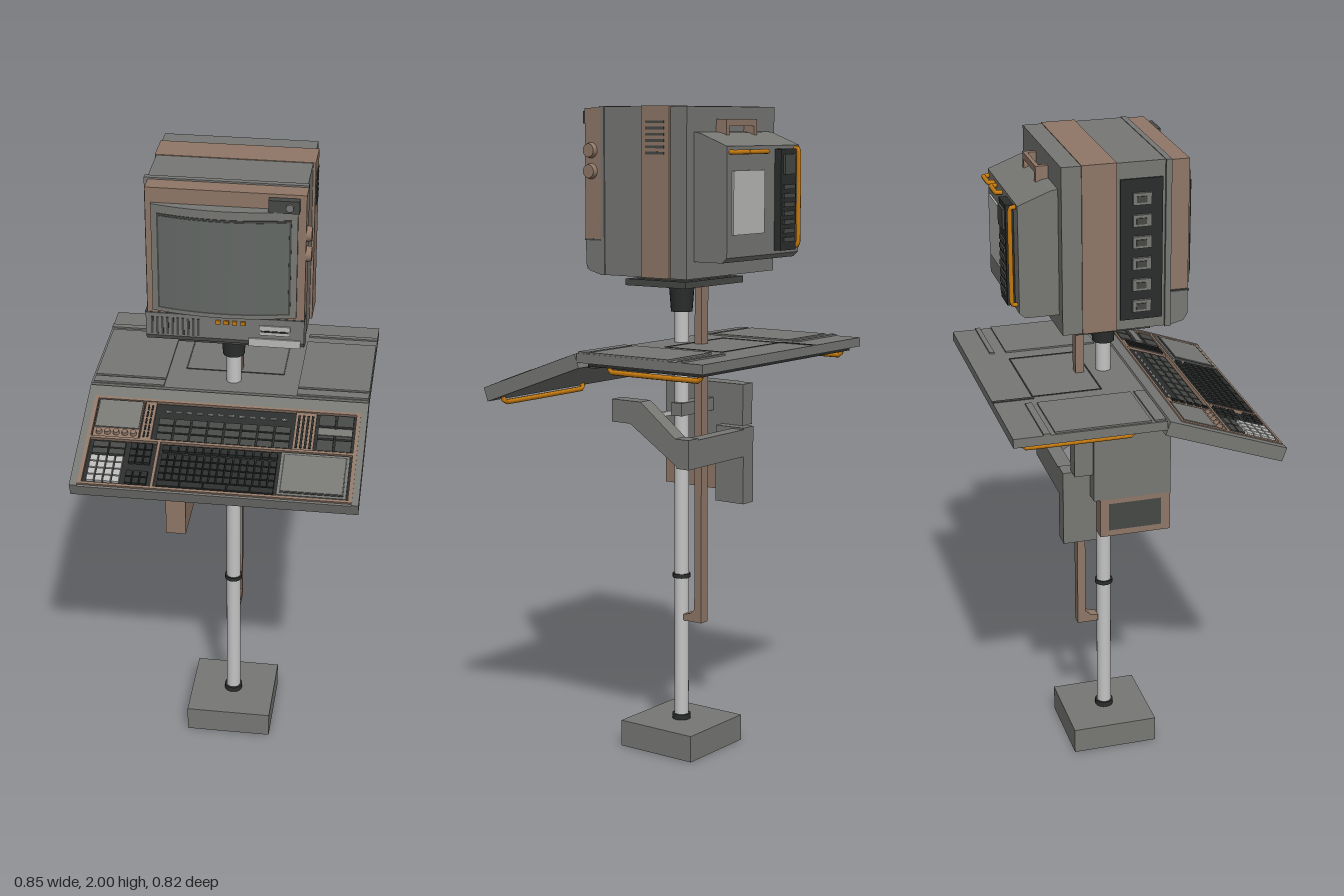
import * as THREE from 'three';
import { mergeGeometries } from 'three/addons/utils/BufferGeometryUtils.js';

const material = (name, color) => {
  const m = new THREE.MeshStandardMaterial({ color });
  m.name = name;
  return m;
};

export function createModel() {
  const gray = material('casing gray', 0x777874);
  const brown = material('casing brown', 0x8f7767);
  const dark = material('dark plastic', 0x2b2d2d);
  const charcoal = material('charcoal', 0x464845);
  const screenMat = material('screen glass', 0x646865);
  const metal = material('pale metal', 0xc4c4c4);
  const keyWhite = material('key white', 0xb9bab8);
  const orange = material('orange', 0xc47a10);

  const model = new THREE.Group();
  const group = (name) => {
    const g = new THREE.Group();
    g.name = name;
    model.add(g);
    return g;
  };
  const add = (parent, name, mat, geo) => {
    const mesh = new THREE.Mesh(geo, mat);
    mesh.name = name;
    parent.add(mesh);
    return mesh;
  };
  const boxGeo = (x0, x1, y0, y1, z0, z1, sx = 1) =>
    new THREE.BoxGeometry(x1 - x0, y1 - y0, z1 - z0, sx, 1, 1)
      .translate((x0 + x1) / 2, (y0 + y1) / 2, (z0 + z1) / 2);
  const box = (parent, name, mat, ...r) => add(parent, name, mat, boxGeo(...r));
  const cyl = (parent, name, mat, r0, r1, y0, y1, x, z) =>
    add(parent, name, mat, new THREE.CylinderGeometry(r1, r0, y1 - y0, 20).translate(x, (y0 + y1) / 2, z));
  // side outline of [z, y] points, extended across x
  const profile = (parent, name, mat, pts, x0, x1) => {
    const shape = new THREE.Shape(pts.map(([z, y]) => new THREE.Vector2(z, y)));
    const geo = new THREE.ExtrudeGeometry(shape, { depth: x1 - x0, bevelEnabled: false });
    return add(parent, name, mat, geo.rotateY(-Math.PI / 2).translate(x1, 0, 0));
  };
  const tube = (parent, name, mat, pts, r) => {
    const path = new THREE.CatmullRomCurve3(pts.map((p) => new THREE.Vector3(...p)), false, 'catmullrom', 0.1);
    return add(parent, name, mat, new THREE.TubeGeometry(path, 32, r, 8));
  };
  // grid of small blocks merged into one mesh; gap is the spacing between them
  const keys = (parent, name, mat, x0, x1, z0, z1, cols, rows, y0, y1, gap = 0.004) => {
    const w = (x1 - x0) / cols, d = (z1 - z0) / rows, list = [];
    for (let r = 0; r < rows; r++) for (let c = 0; c < cols; c++) {
      const x = x0 + c * w, z = z0 + r * d;
      list.push(boxGeo(x + gap / 2, x + w - gap / 2, y0, y1, z + gap / 2, z + d - gap / 2));
    }
    return add(parent, name, mat, mergeGeometries(list));
  };

  // Base and pole
  const PZ = -0.032;
  const stand = group('stand');
  box(stand, 'base', gray, -0.135, 0.138, 0, 0.083, -0.168, 0.104);
  cyl(stand, 'pole', metal, 0.023, 0.023, 0.08, 1.4, 0.002, PZ);
  cyl(stand, 'lower collar', dark, 0.029, 0.029, 0.083, 0.1, 0.002, PZ);
  cyl(stand, 'pole ring', dark, 0.028, 0.028, 0.543, 0.556, 0.002, PZ);
  cyl(stand, 'neck socket', dark, 0.033, 0.04, 1.38, 1.47, 0.002, PZ);
  box(stand, 'mount plate', charcoal, -0.15, 0.15, 1.465, 1.485, -0.155, 0.07);
  box(stand, 'mount block', charcoal, -0.12, 0.12, 1.485, 1.505, -0.13, 0.05);
  profile(stand, 'cable channel', brown, [[-0.055, 0.41], [-0.122, 0.41], [-0.122, 1.47], [-0.096, 1.47],
    [-0.096, 0.45], [-0.08, 0.435], [-0.055, 0.43]], -0.012, 0.022);

  // Desk top with underside tray
  const desk = group('desk');
  box(desk, 'desk slab', gray, -0.425, 0.42, 1.258, 1.286, -0.413, 0.042);
  box(desk, 'rear right strip', gray, 0.205, 0.42, 1.286, 1.291, -0.34, -0.325);
  box(desk, 'rear left panel', gray, -0.425, -0.2, 1.286, 1.291, -0.325, -0.305);
  for (const s of [-1, 1]) {
    box(desk, 'side panel', gray, s * 0.31 - 0.108, s * 0.31 + 0.108, 1.286, 1.291, -0.29, -0.005);
    box(desk, 'front strip', gray, s * 0.31 - 0.108, s * 0.31 + 0.108, 1.286, 1.291, 0.005, 0.038);
    tube(desk, 'underside handle', orange, [[s * 0.375, 1.25, -0.045], [s * 0.375, 1.232, -0.055],
      [s * 0.375, 1.232, -0.365], [s * 0.375, 1.25, -0.375]], 0.008);
    box(desk, 'hinge block', charcoal, s * 0.33 - 0.028, s * 0.33 + 0.028, 1.235, 1.265, 0.02, 0.085);
  }
  for (const z of [-0.29, -0.08]) box(desk, 'hatch seam', charcoal, -0.15, 0.15, 1.286, 1.288, z - 0.002, z + 0.002);
  for (const x of [-0.15, 0.15]) box(desk, 'hatch seam', charcoal, x - 0.002, x + 0.002, 1.286, 1.288, -0.29, -0.08);
  box(desk, 'cable groove', charcoal, -0.165, -0.153, 1.286, 1.288, -0.412, -0.29);
  box(desk, 'underside tray', dark, -0.4, 0.395, 1.246, 1.258, -0.39, 0.02);
  box(desk, 'underside plate', gray, -0.16, 0.16, 1.225, 1.246, -0.25, 0.01);
  box(desk, 'pole clamp', gray, -0.04, 0.045, 1.2, 1.226, -0.1, 0.025);

  // Sloped console; local y = 0 is its upper surface, local z runs down the slope
  const con = group('console');
  con.position.set(0, 1.283, 0.05);
  con.rotation.x = 0.346;
  const Z = (z) => (z - 0.05) / 0.941;
  box(con, 'console tray', gray, -0.425, 0.42, -0.044, -0.014, 0, 0.383);
  for (const x of [-0.425, 0.398]) box(con, 'side rail', gray, x, x + 0.022, -0.014, 0, 0, 0.383);
  box(con, 'rear rail', gray, -0.403, 0.398, -0.014, 0, 0, Z(0.09));
  box(con, 'front rail', gray, -0.403, 0.398, -0.014, -0.004, Z(0.403), 0.383);
  for (const z of [0.091, 0.234, 0.396])
    box(con, 'cross trim', brown, -0.403, 0.398, -0.014, 0.003, Z(z), Z(z + 0.008));
  for (const x of [-0.403, 0.388]) box(con, 'side trim', brown, x, x + 0.012, -0.014, 0.003, Z(0.09), Z(0.404));
  box(con, 'keyboard divider', brown, -0.189, -0.18, -0.014, 0.003, Z(0.24), Z(0.4));
  box(con, 'console floor', dark, -0.392, 0.39, -0.014, -0.008, Z(0.095), Z(0.398));
  box(con, 'knob panel', brown, -0.388, -0.25, -0.01, -0.001, Z(0.1), Z(0.234));
  box(con, 'note pad', gray, -0.385, -0.253, -0.002, 0.003, Z(0.103), Z(0.2));
  for (let i = 0; i < 5; i++) cyl(con, 'dial', brown, 0.01, 0.008, -0.002, 0.01, -0.37 + i * 0.026, Z(0.217));
  box(con, 'slider strip', brown, -0.245, -0.212, -0.01, 0.001, Z(0.1), Z(0.234));
  keys(con, 'small sliders', dark, -0.24, -0.217, Z(0.11), Z(0.23), 2, 5, 0, 0.005, 0.007);
  keys(con, 'display labels', keyWhite, -0.19, 0.19, Z(0.118), Z(0.135), 12, 1, -0.008, -0.003, 0.014);
  keys(con, 'function strips', charcoal, -0.2, 0.2, Z(0.15), Z(0.23), 8, 3, -0.008, -0.004, 0.005);
  box(con, 'slider panel', brown, 0.208, 0.27, -0.01, -0.001, Z(0.1), Z(0.234));
  keys(con, 'slider slots', dark, 0.212, 0.266, Z(0.11), Z(0.23), 4, 1, -0.002, 0.003, 0.007);
  keys(con, 'drive bays', charcoal, 0.276, 0.384, Z(0.102), Z(0.234), 2, 3, -0.01, 0.001, 0.006);
  box(con, 'drive bay cover', gray, 0.279, 0.381, 0, 0.004, Z(0.155), Z(0.178));
  keys(con, 'number keys', keyWhite, -0.38, -0.28, Z(0.3), Z(0.392), 4, 4, -0.01, 0.004);
  keys(con, 'number top keys', charcoal, -0.38, -0.28, Z(0.25), Z(0.296), 2, 2, -0.01, 0.002);
  keys(con, 'navigation keys', dark, -0.267, -0.2, Z(0.25), Z(0.32), 3, 3, -0.01, 0.004);
  keys(con, 'arrow keys', dark, -0.267, -0.2, Z(0.345), Z(0.392), 3, 2, -0.01, 0.004);
  keys(con, 'function keys', dark, -0.172, 0.172, Z(0.25), Z(0.272), 14, 1, -0.01, 0.004);
  keys(con, 'main keys', dark, -0.172, 0.172, Z(0.28), Z(0.372), 16, 4, -0.01, 0.004);
  keys(con, 'space row', dark, -0.172, 0.172, Z(0.372), Z(0.394), 5, 1, -0.01, 0.004);
  box(con, 'touch pad frame', gray, 0.18, 0.382, -0.014, 0.004, Z(0.248), Z(0.394));
  box(con, 'touch pad edge', charcoal, 0.188, 0.374, 0.004, 0.006, Z(0.255), Z(0.387));
  box(con, 'touch pad', gray, 0.192, 0.37, 0.004, 0.008, Z(0.259), Z(0.383));
  tube(con, 'front handle', orange, [[0.01, -0.04, 0.345], [0.02, -0.06, 0.345],
    [0.38, -0.06, 0.345], [0.39, -0.04, 0.345]], 0.008);

  // Equipment box and bracket below the desk
  const rig = group('under desk bracket');
  box(rig, 'equipment box', gray, -0.19, -0.128, 0.935, 1.15, -0.115, 0.127);
  box(rig, 'equipment box base', brown, -0.19, -0.128, 0.81, 0.935, -0.095, 0.127);
  box(rig, 'box rear block', gray, -0.18, -0.128, 1.02, 1.15, -0.172, -0.11);
  keys(rig, 'box vent', charcoal, -0.193, -0.189, -0.07, 0.1, 1, 1, 0.83, 0.92);
  box(rig, 'rear column', gray, -0.146, -0.092, 0.78, 1.02, -0.2, -0.095);
  box(rig, 'rear bar', gray, -0.125, 0.195, 0.93, 1.015, -0.2, -0.155);
  profile(rig, 'side arm', gray, [[0.09, 1.12], [-0.02, 1.12], [-0.15, 1.02], [-0.2, 1.02], [-0.2, 0.93],
    [-0.165, 0.93], [0.02, 1.05], [0.09, 1.05]], 0.145, 0.195);
  box(rig, 'cross rod', metal, -0.13, 0.147, 1.042, 1.056, 0.05, 0.064);
  box(rig, 'arm clamp', gray, -0.13, 0.04, 1.06, 1.1, -0.06, -0.02);

  // Monitor casing
  const mon = group('monitor');
  box(mon, 'main casing', gray, -0.226, 0.226, 1.5, 1.998, -0.215, 0.1);
  box(mon, 'casing band', brown, -0.23, 0.234, 1.5, 2, -0.157, -0.055);
  box(mon, 'front casing', brown, -0.224, 0.23, 1.605, 1.995, 0.1, 0.16);
  box(mon, 'casing lip', gray, -0.235, 0.23, 1.5, 2, 0.088, 0.105);
  profile(mon, 'control panel', gray, [[0.1, 1.5], [0.1, 1.605], [0.158, 1.605], [0.158, 1.53], [0.145, 1.512]], -0.23, 0.23);
  box(mon, 'panel seam', charcoal, -0.231, 0.231, 1.602, 1.607, 0.1, 0.161);

  // Curved screen: plates bowed forward in the middle
  const bowed = (name, mat, x0, x1, y0, y1, z0, z1) => {
    const geo = boxGeo(x0, x1, y0, y1, z0, z1, 20), p = geo.attributes.position;
    for (let i = 0; i < p.count; i++)
      if (p.getZ(i) > 0.161) p.setZ(i, p.getZ(i) + 0.028 * (1 - (p.getX(i) / 0.21) ** 2));
    geo.computeVertexNormals();
    return add(mon, name, mat, geo);
  };
  bowed('screen bezel', gray, -0.207, 0.207, 1.618, 1.95, 0.15, 0.168);
  bowed('screen border', charcoal, -0.19, 0.19, 1.63, 1.925, 0.163, 0.17);
  bowed('screen', screenMat, -0.184, 0.184, 1.636, 1.919, 0.164, 0.172);
  box(mon, 'sensor plate', charcoal, 0.125, 0.212, 1.948, 1.985, 0.16, 0.182);
  add(mon, 'sensor lens', gray, new THREE.CylinderGeometry(0.011, 0.011, 0.01, 16).rotateX(Math.PI / 2).translate(0.185, 1.967, 0.185));

  // Front controls
  for (let i = 0; i < 4; i++) box(mon, 'indicator', orange, -0.026 + i * 0.024, -0.012 + i * 0.024, 1.579, 1.591, 0.157, 0.163);
  for (let i = 0; i < 10; i++) box(mon, 'front vent', charcoal, -0.215 + i * 0.015, -0.208 + i * 0.015, 1.535, 1.59, 0.157, 0.16);
  box(mon, 'disk slot', keyWhite, 0.1, 0.19, 1.552, 1.582, 0.157, 0.162);
  box(mon, 'disk slot gap', dark, 0.105, 0.185, 1.562, 1.567, 0.161, 0.164);
  box(mon, 'label plate', keyWhite, 0.07, 0.22, 1.515, 1.54, 0.147, 0.163);

  // Side knobs, vent and connector panel
  for (const y of [1.87, 1.808])
    add(mon, 'side knob', brown, new THREE.CylinderGeometry(0.02, 0.024, 0.018, 20).rotateZ(-Math.PI / 2).translate(0.236, y, 0.136));
  for (let i = 0; i < 6; i++) box(mon, 'band vent', charcoal, 0.232, 0.2365, 1.86 + i * 0.018, 1.868 + i * 0.018, -0.14, -0.072);
  box(mon, 'connector panel', dark, -0.231, -0.22, 1.53, 1.95, -0.045, 0.08);
  for (let i = 0; i < 6; i++) {
    const y = 1.555 + i * 0.064;
    box(mon, 'connector', gray, -0.24, -0.23, y, y + 0.035, -0.01, 0.045);
    box(mon, 'connector plug', charcoal, -0.243, -0.239, y + 0.008, y + 0.026, 0, 0.03);
  }

  // Rear housing
  profile(mon, 'rear housing', gray, [[-0.215, 1.55], [-0.215, 1.925], [-0.235, 1.922], [-0.332, 1.885],
    [-0.332, 1.565], [-0.315, 1.55]], -0.187, 0.19);
  for (const x of [-0.078, 0.064]) box(mon, 'handle post', brown, x, x + 0.016, 1.9, 1.962, -0.252, -0.215);
  box(mon, 'handle bar', brown, -0.078, 0.08, 1.942, 1.962, -0.252, -0.24);
  box(mon, 'rear label', keyWhite, 0.005, 0.165, 1.63, 1.815, -0.338, -0.331);
  box(mon, 'rear panel', dark, -0.137, -0.055, 1.575, 1.875, -0.355, -0.33);
  keys(mon, 'rear panel buttons', charcoal, -0.125, -0.067, -0.362, -0.354, 1, 1, 1.8, 1.86, 0);
  for (let i = 0; i < 7; i++) box(mon, 'rear panel slot', charcoal, -0.125, -0.067, 1.6 + i * 0.026, 1.614 + i * 0.026, -0.36, -0.354);
  for (const x of [0.003, 0.102])
    tube(mon, 'rear grip', orange, [[x, 1.868, -0.33], [x + 0.006, 1.868, -0.35], [x + 0.068, 1.868, -0.35], [x + 0.074, 1.868, -0.33]], 0.007);
  tube(mon, 'rear cable', orange, [[-0.161, 1.875, -0.325], [-0.161, 1.87, -0.348], [-0.161, 1.59, -0.348], [-0.161, 1.585, -0.325]], 0.007);

  return model;
}
